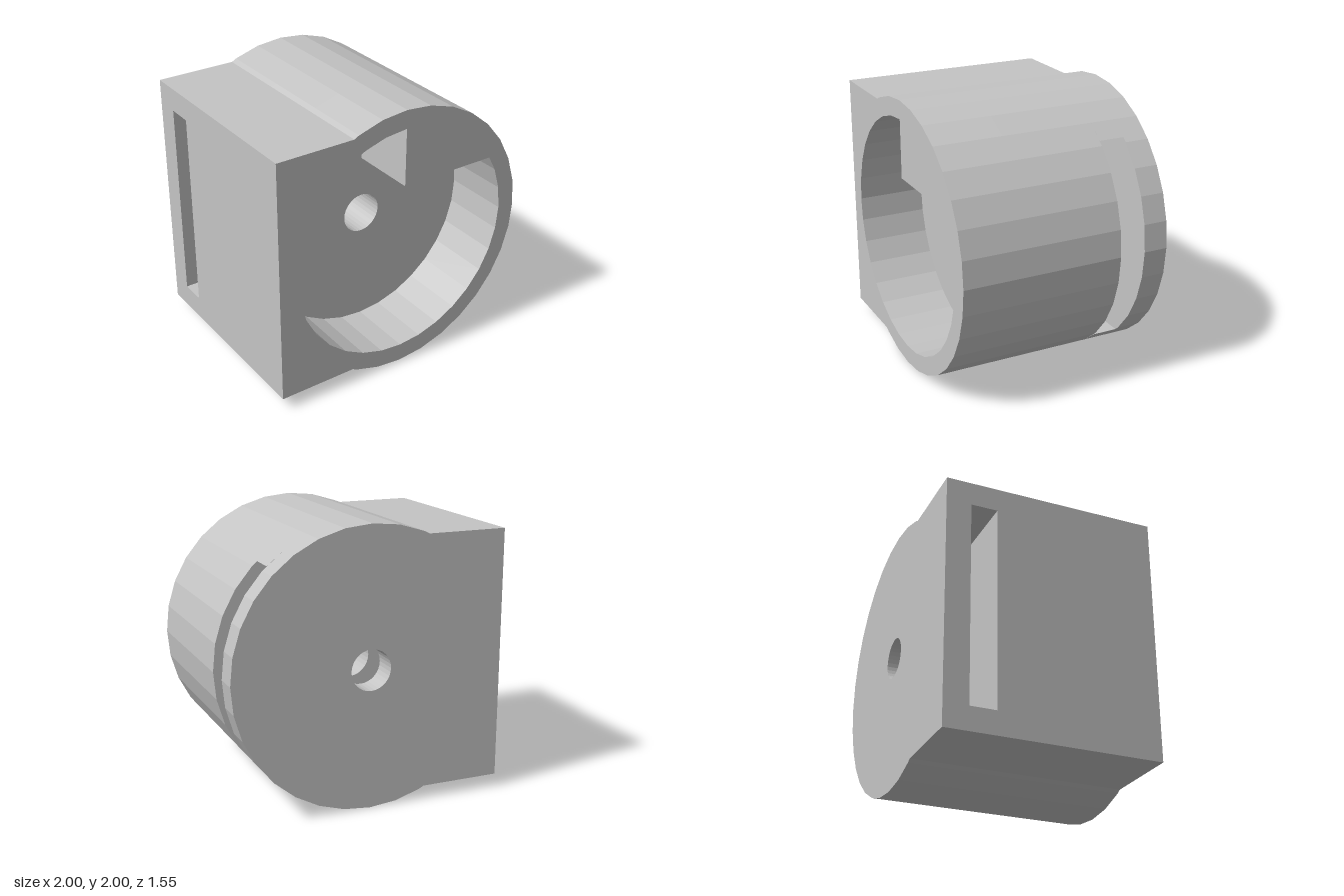
import * as THREE from 'three';

const SIDES = 32;
const STEP = (Math.PI * 2) / SIDES;
const FLAT_Y = 0.905; // half height of the square mounting side
const SLOT_Y = 0.735; // half height of the through slot
const FRONT = 0.773;

// Points of a 32-sided circle, from vertex index a to b
function arc(r, a, b) {
  const pts = [];
  for (let i = a; i <= b; i++) pts.push(new THREE.Vector2(r * Math.cos(i * STEP), r * Math.sin(i * STEP)));
  return pts;
}
const P = (x, y) => new THREE.Vector2(x, y);

// Round drum merged with a square block on the -x side
function outline() {
  return new THREE.Shape([P(-1, -FLAT_Y), P(-0.418, -FLAT_Y), ...arc(1, -10, 10), P(-0.418, FLAT_Y), P(-1, FLAT_Y)]);
}

// Part of the outline above the slot (sign 1) or below it (sign -1)
function cap(sign) {
  const pts = [P(0.676, SLOT_Y), ...arc(1, 5, 10), P(-0.418, FLAT_Y), P(-1, FLAT_Y), P(-1, SLOT_Y)];
  return new THREE.Shape(pts.map((p) => P(p.x, p.y * sign)));
}

export function createModel() {
  const group = new THREE.Group();
  const grey = new THREE.MeshStandardMaterial({ color: 0xc4c4c4 });
  grey.name = 'light grey';

  function slab(name, shape, z0, z1) {
    const geo = new THREE.ExtrudeGeometry(shape, { depth: z1 - z0, bevelEnabled: false });
    const mesh = new THREE.Mesh(geo, grey);
    mesh.name = name;
    mesh.position.set(0, 1, z0);
    group.add(mesh);
  }

  // Front housing: round pocket with a solid stop in its upper right
  const rim = outline();
  rim.holes.push(new THREE.Path([...arc(0.865, 8, 34), P(0.741, 0.44), P(0, 0.44)]));
  slab('pocketRim', rim, 0.273, FRONT);

  // Solid plates pierced by the axle hole
  const plate = outline();
  plate.holes.push(new THREE.Path(arc(0.147, 0, SIDES - 1)));
  slab('pocketFloor', plate, -0.225, 0.273);
  slab('slotFrontPlate', plate, -0.405, -0.225);
  slab('backPlate', plate, -FRONT, -0.595);

  // Bridges closing the through slot above and below
  slab('slotTopBridge', cap(1), -0.595, -0.405);
  slab('slotBottomBridge', cap(-1), -0.595, -0.405);

  return group;
}
